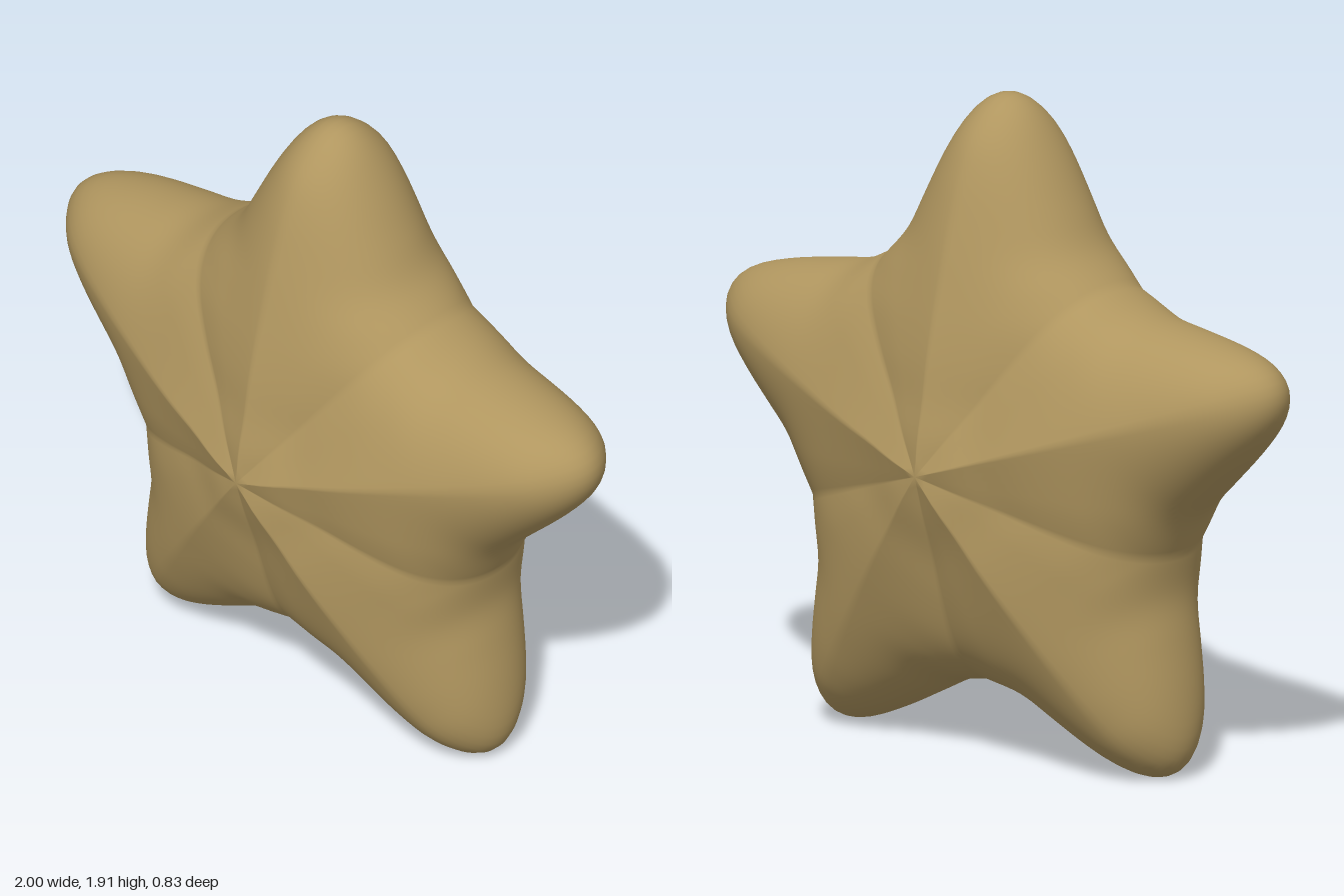
import * as THREE from 'three';

const ARM = 1.045;           // centre to arm tip
const SECTOR = Math.PI * 2 / 5;
const PER_ARM = 48, RINGS = 72;

// Evenly spaced factors along an arm; the square root rounds off the tip
function taper(factors) {
  const step = 0.105;
  const curve = new THREE.SplineCurve(factors.map((f, i) => new THREE.Vector2(i * step, f)));
  const length = step * (factors.length - 1);
  return (u) => curve.getPoint(Math.min(u / length, 1)).y * Math.sqrt(Math.max(0, ARM - u));
}
const halfWidth = taper([0.6, 0.62, 0.635, 0.644, 0.63, 0.555, 0.466, 0.437, 0.42, 0.41, 0.42]);
const halfDepth = taper([0.406, 0.416, 0.416, 0.424, 0.428, 0.43, 0.435, 0.443, 0.46, 0.48, 0.46]);

// Outline radius at an angle away from the arm's axis
function outline(phi) {
  let lo = 0, hi = ARM / Math.cos(phi);
  for (let i = 0; i < 40; i++) {
    const r = (lo + hi) / 2;
    if (r * Math.sin(phi) <= halfWidth(r * Math.cos(phi)) && r * Math.cos(phi) <= ARM) lo = r;
    else hi = r;
  }
  return lo;
}

// Rounded arm section, with a soft ridge that fades outwards
function surfaceDepth(phi, t, radius) {
  const u = t * radius * Math.cos(phi), v = t * radius * Math.sin(phi);
  const w = Math.max(halfWidth(u), 1e-6);
  const round = halfDepth(u) * Math.sqrt(Math.max(0, 1 - (v / w) ** 2));
  return Math.max(0, round - 0.4 * (1 - t) * v);
}

function starGeometry() {
  const count = PER_ARM * 5;
  const positions = [0, 0, halfDepth(0)];
  // Rings run from the front centre, over the rim, to the back centre
  for (let i = 1; i < RINGS; i++) {
    const a = Math.PI * i / RINGS;
    const t = Math.sin(a);
    const side = i === RINGS / 2 ? 0 : Math.sign(Math.cos(a));
    for (let j = 0; j < count; j++) {
      const angle = Math.PI * 2 * j / count;
      const local = angle % SECTOR;
      const phi = Math.min(local, Math.abs(SECTOR - local));
      const radius = outline(phi);
      positions.push(
        t * radius * Math.cos(angle + Math.PI / 2),
        t * radius * Math.sin(angle + Math.PI / 2),
        side * surfaceDepth(phi, t, radius));
    }
  }
  positions.push(0, 0, -halfDepth(0));

  const last = positions.length / 3 - 1;
  const at = (i, j) => i === 0 ? 0 : i === RINGS ? last : 1 + (i - 1) * count + j % count;
  const index = [];
  for (let i = 0; i < RINGS; i++) {
    for (let j = 0; j < count; j++) {
      const a = at(i, j), b = at(i + 1, j), c = at(i + 1, j + 1), d = at(i, j + 1);
      if (i < RINGS - 1) index.push(a, b, c);
      if (i > 0) index.push(a, c, d);
    }
  }
  const geometry = new THREE.BufferGeometry();
  geometry.setAttribute('position', new THREE.Float32BufferAttribute(positions, 3));
  geometry.setIndex(index);
  geometry.computeBoundingBox();
  geometry.translate(0, -geometry.boundingBox.min.y, 0);
  geometry.computeVertexNormals();
  return geometry;
}

export function createModel() {
  const group = new THREE.Group();
  group.name = 'puffyStar';
  const tan = new THREE.MeshStandardMaterial({ color: 0xb0965f });
  tan.name = 'sandyTan';
  const star = new THREE.Mesh(starGeometry(), tan);
  star.name = 'starBody';
  group.add(star);
  return group;
}
